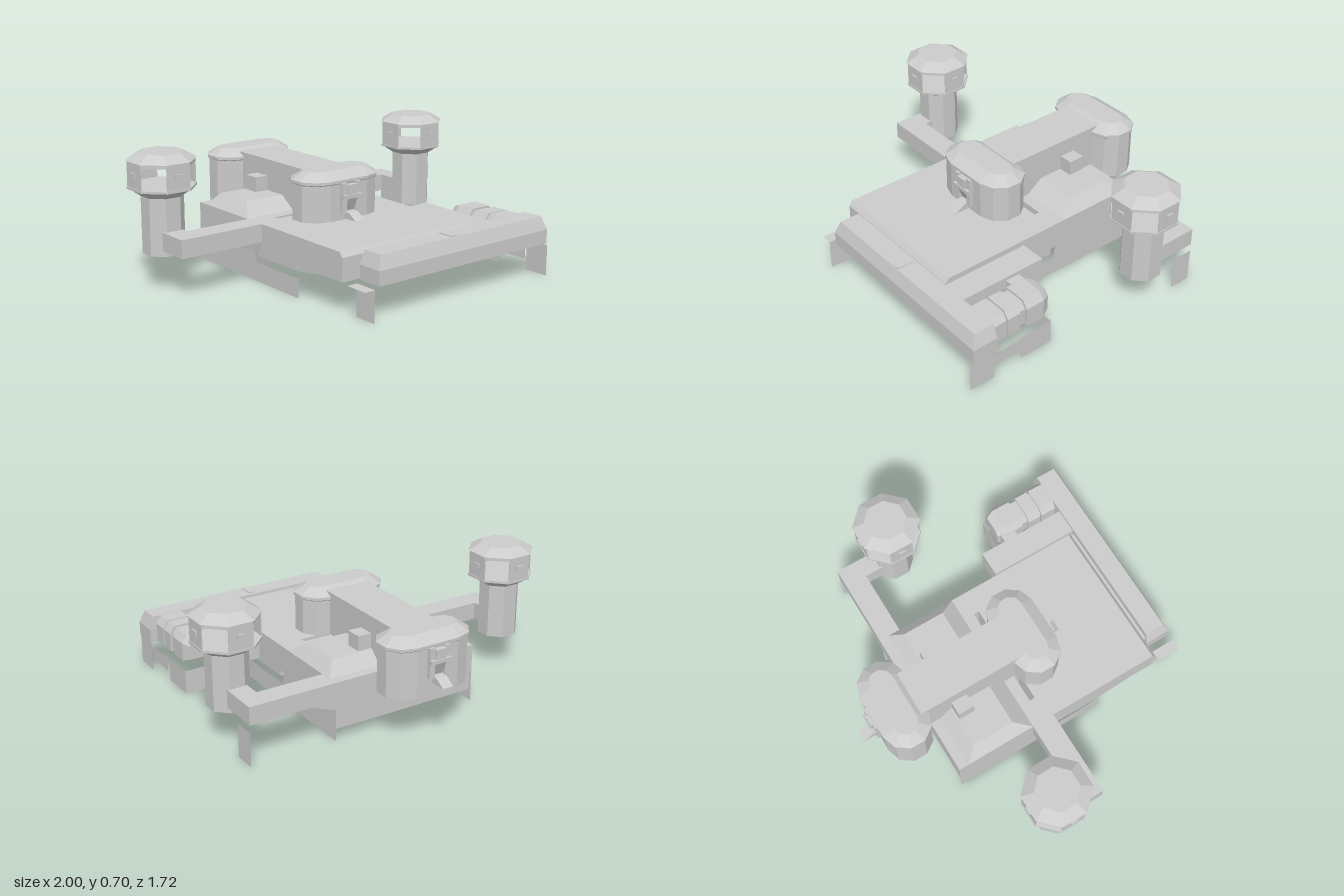
import * as THREE from 'three';

const material = new THREE.MeshStandardMaterial({ color: 0xcccccc, flatShading: true, side: THREE.DoubleSide });

function add(parent, name, geometry, x = 0, y = 0, z = 0) {
  const mesh = new THREE.Mesh(geometry, material);
  mesh.name = name;
  mesh.position.set(x, y, z);
  parent.add(mesh);
  return mesh;
}

// Box given by its limits
function box(parent, name, x0, x1, y0, y1, z0, z1) {
  return add(parent, name, new THREE.BoxGeometry(x1 - x0, y1 - y0, z1 - z0),
    (x0 + x1) / 2, (y0 + y1) / 2, (z0 + z1) / 2);
}

// Skin over rings of equal length (ordered so that faces look outward), capped at both ends
function loft(rings) {
  const pos = [];
  const tri = (a, b, c) => pos.push(...a, ...b, ...c);
  const n = rings[0].length;
  for (let r = 0; r + 1 < rings.length; r++) {
    for (let i = 0; i < n; i++) {
      const j = (i + 1) % n, a = rings[r], b = rings[r + 1];
      tri(a[i], a[j], b[j]);
      tri(a[i], b[j], b[i]);
    }
  }
  const first = rings[0], last = rings[rings.length - 1];
  for (let i = 1; i + 1 < n; i++) {
    tri(first[0], first[i + 1], first[i]);
    tri(last[0], last[i], last[i + 1]);
  }
  const geometry = new THREE.BufferGeometry();
  geometry.setAttribute('position', new THREE.Float32BufferAttribute(pos, 3));
  geometry.computeVertexNormals();
  return geometry;
}

const rect = (x0, x1, y, z0, z1) => [[x0, y, z1], [x1, y, z1], [x1, y, z0], [x0, y, z0]];

// Polygon in (z, y), extruded along x
function sideProfile(points, x0, x1) {
  const shape = new THREE.Shape(points.map(([z, y]) => new THREE.Vector2(-z, y)));
  const g = new THREE.ExtrudeGeometry(shape, { depth: x1 - x0, bevelEnabled: false });
  return g.rotateY(Math.PI / 2).translate(x0, 0, 0);
}

// Thin upright plate in a plane of constant x, outline in (z, y)
function sheet(parent, name, x, points) {
  const shape = new THREE.Shape(points.map(([z, y]) => new THREE.Vector2(-z, y)));
  return add(parent, name, new THREE.ShapeGeometry(shape).rotateY(Math.PI / 2), x);
}

const sheetRect = (parent, name, x, z0, z1, y0, y1) =>
  sheet(parent, name, x, [[z0, y0], [z1, y0], [z1, y1], [z0, y1]]);

// Ring of an elongated drum: straight sides with round ends
function stadium(halfLength, radius, y) {
  const ring = [];
  for (const side of [1, -1]) {
    for (let i = 0; i <= 5; i++) {
      const a = -Math.PI / 2 + (i / 5) * Math.PI;
      ring.push([side * (halfLength + radius * Math.cos(a)), y, -side * radius * Math.sin(a)]);
    }
  }
  return ring;
}

function createDrum(name, bottom) {
  const drum = new THREE.Group();
  drum.name = name;
  add(drum, 'drumBody', loft([
    stadium(0.12, 0.125, bottom), stadium(0.12, 0.125, 0.505), stadium(0.12, 0.132, 0.51),
    stadium(0.12, 0.132, 0.525), stadium(0.125, 0.065, 0.565),
  ]));
  // Latch on the outer face
  for (const s of [-1, 1]) box(drum, 'latchBracket', s * 0.045 - 0.015, s * 0.045 + 0.015, 0.35, 0.51, 0.12, 0.145);
  box(drum, 'latchPlate', -0.03, 0.03, 0.43, 0.5, 0.12, 0.155);
  box(drum, 'latchBar', -0.06, 0.06, 0.43, 0.45, 0.13, 0.16);
  add(drum, 'latchArm', sideProfile([[0.125, 0.36], [0.16, 0.44], [0.145, 0.46], [0.125, 0.42]], -0.03, 0.03));
  add(drum, 'latchLip', sideProfile([[0.12, 0.32], [0.212, 0.322], [0.16, 0.355], [0.12, 0.36]], -0.03, 0.03));
  return drum;
}

const octagon = (top, bottom, height, open = false) => {
  const k = Math.cos(Math.PI / 8);
  return new THREE.CylinderGeometry(top / k, bottom / k, height, 8, 1, open).rotateY(Math.PI / 8);
};

function createTower(side) {
  const tower = new THREE.Group();
  tower.name = side > 0 ? 'leftTower' : 'rightTower';
  tower.position.set(side * 0.833, 0, -0.21);
  add(tower, 'column', octagon(0.1, 0.1, 0.305, true), 0, 0.3425);
  add(tower, 'columnFloor', octagon(0.075, 0.075, 0.01), 0, 0.22);
  add(tower, 'flare', octagon(0.162, 0.1, 0.045), 0, 0.5075);
  add(tower, 'rim', octagon(0.162, 0.162, 0.012), 0, 0.53);
  add(tower, 'capRing', octagon(0.158, 0.158, 0.02), 0, 0.658);
  add(tower, 'cap', octagon(0.105, 0.165, 0.038), 0, 0.686);
  // Four window panels, open on the diagonals
  for (let i = 0; i < 4; i++) {
    const face = new THREE.Group();
    face.name = 'windowPanel';
    face.rotation.y = i * Math.PI / 2;
    box(face, 'panel', -0.066, 0.066, 0.53, 0.655, 0.154, 0.158);
    box(face, 'panelCatch', -0.02, 0.02, 0.59, 0.615, 0.155, 0.167);
    tower.add(face);
  }
  return tower;
}

export function createModel() {
  const model = new THREE.Group();
  model.name = 'model';

  // Deck slabs with two narrow slots between them
  add(model, 'frontDeck', sideProfile([[0.015, 0.315], [0.67, 0.315], [0.69, 0.29], [0.69, 0.17], [0.55, 0.17], [0.35, 0.14], [0.015, 0.14]], -0.415, 0.415));
  box(model, 'rearDeck', -0.415, 0.415, 0.17, 0.315, -0.52, -0.015);
  box(model, 'deckBridge', -0.13, 0.13, 0.17, 0.315, -0.015, 0.015);
  for (const s of [-1, 1]) box(model, 'deckBridge', s * 0.35 - 0.065, s * 0.35 + 0.065, 0.17, 0.315, -0.015, 0.015);
  add(model, 'lowerHull', loft([rect(-0.23, 0.23, 0.05, -0.45, -0.15), rect(-0.41, 0.41, 0.06, -0.51, -0.06), rect(-0.41, 0.41, 0.18, -0.51, -0.03)]));
  add(model, 'raisedDeck', loft([rect(-0.415, 0.415, 0.315, -0.465, -0.075), rect(-0.355, 0.355, 0.38, -0.4, -0.165)]));
  box(model, 'deckHousing', -0.2, 0.2, 0.37, 0.46, -0.39, -0.3);

  // Two drums joined by a long neck
  const frontDrum = createDrum('frontDrum', 0.315);
  frontDrum.position.z = 0.115;
  const rearDrum = createDrum('rearDrum', 0.26);
  rearDrum.position.z = -0.65;
  rearDrum.rotation.y = Math.PI;
  model.add(frontDrum, rearDrum);
  box(model, 'neck', -0.125, 0.125, 0.315, 0.55, -0.57, 0.03);

  // Side arms and towers
  box(model, 'rightArm', -0.89, -0.41, 0.22, 0.315, -0.075, 0.05);
  add(model, 'rightArmRoot', loft([rect(-0.415, -0.3, 0.17, -0.07, 0.04), rect(-0.55, -0.3, 0.22, -0.075, 0.05)]));
  box(model, 'rightTowerLink', -0.89, -0.78, 0.22, 0.315, -0.13, -0.07);
  box(model, 'leftArm', 0.41, 0.885, 0.22, 0.315, -0.52, -0.4);
  add(model, 'leftArmRoot', loft([rect(0.3, 0.415, 0.17, -0.52, -0.4), rect(0.3, 0.55, 0.22, -0.52, -0.4)]));
  box(model, 'leftTowerLink', 0.78, 0.885, 0.22, 0.315, -0.4, -0.29);
  sheetRect(model, 'leftArmSkirt', 0.885, -0.52, -0.4, 0, 0.18);
  for (const s of [-1, 1]) model.add(createTower(s));

  // Front bar with bevelled top
  add(model, 'frontBar', loft([
    rect(-0.32, 0.83, 0.17, 0.705, 0.845), rect(-0.32, 0.83, 0.245, 0.705, 0.845), rect(-0.295, 0.805, 0.315, 0.71, 0.82),
  ]));
  box(model, 'barTab', 0.17, 0.205, 0.3, 0.32, 0.73, 0.815);
  box(model, 'barLink', -0.3, 0.42, 0.17, 0.28, 0.68, 0.71);

  // Left fender and its segmented block
  box(model, 'fender', 0.43, 0.57, 0.17, 0.3, 0.21, 0.71);
  box(model, 'fenderLink', 0.41, 0.44, 0.18, 0.26, 0.33, 0.69);
  const section = (z, s) => [[-0.09, -0.07], [0.09, -0.07], [0.09, 0.03], [0.06, 0.07], [-0.06, 0.07], [-0.09, 0.03]]
    .map(([x, y]) => [0.7 + x * s, 0.243 + y * s, z]);
  for (const [z0, z1] of [[0.39, 0.495], [0.535, 0.61], [0.62, 0.71]]) {
    add(model, 'fenderBlock', loft([section(z0, 1), section(z1, 1)]));
  }
  add(model, 'fenderBlockEnd', loft([section(0.345, 0.75), section(0.39, 1)]));
  add(model, 'fenderBlockCore', loft([section(0.4, 0.85), section(0.7, 0.85)]));
  box(model, 'fenderBlockLink', 0.56, 0.63, 0.19, 0.28, 0.36, 0.44);

  // Skirts hanging below both sides
  for (const s of [-1, 1]) {
    sheet(model, 'sideSkirt', s * 0.413, [[0.35, 0], [0.35, 0.1], [0, 0.1], [-0.02, 0.18], [-0.52, 0.18], [-0.52, 0]]);
  }
  sheetRect(model, 'frontSkirt', 0.82, 0.72, 0.86, 0, 0.165);
  sheetRect(model, 'middleSkirt', 0.81, 0.54, 0.72, 0.06, 0.13);
  sheetRect(model, 'rearSkirt', 0.8, 0.35, 0.54, 0, 0.13);
  add(model, 'crossSkirt', new THREE.PlaneGeometry(0.385, 0.13), 0.607, 0.065, 0.35);
  sheetRect(model, 'frontSkirt', -0.36, 0.73, 0.86, 0, 0.165);
  add(model, 'frontSkirtLip', new THREE.PlaneGeometry(0.06, 0.13).rotateX(-Math.PI / 2), -0.387, 0.165, 0.795);
  return model;
}
